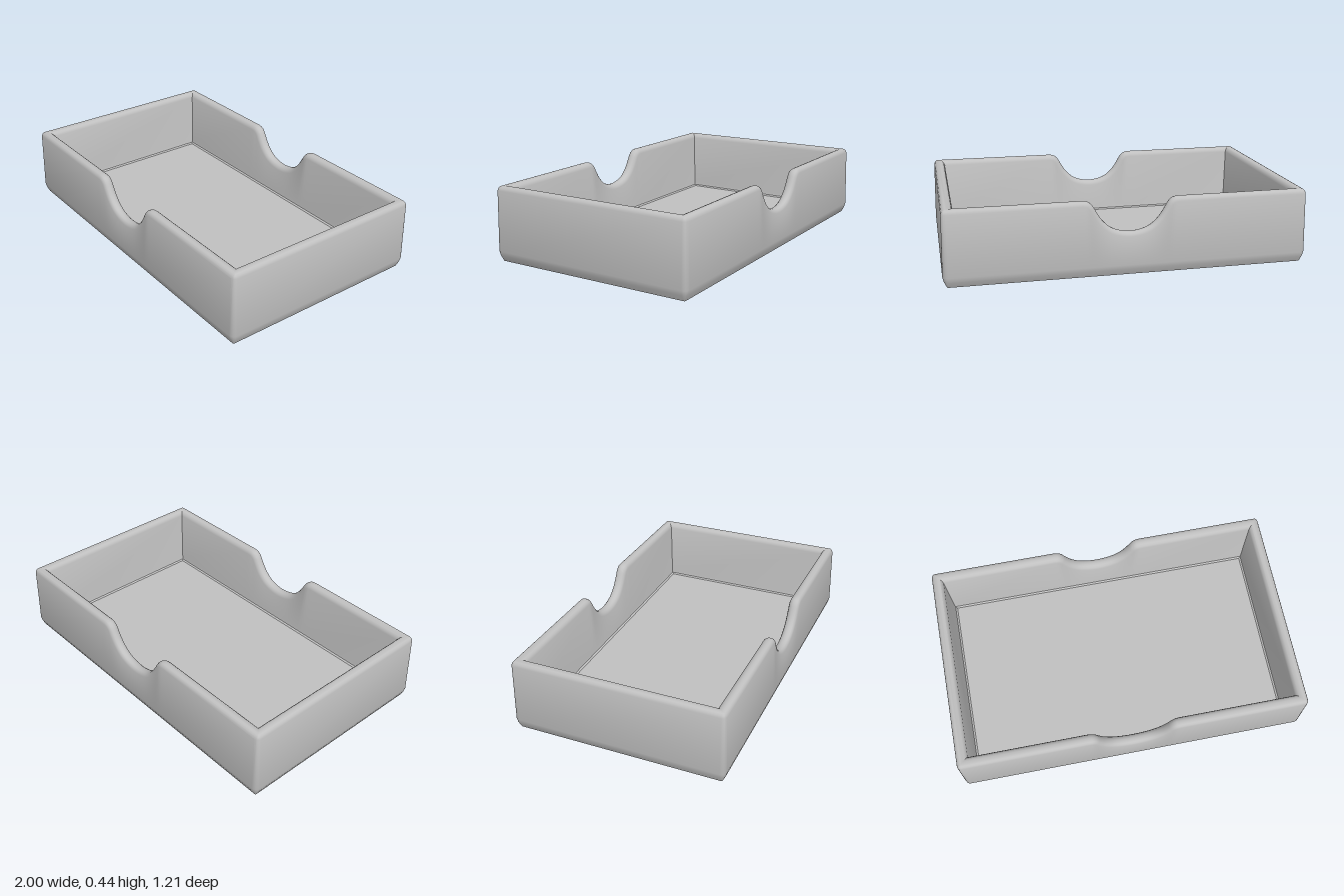
import * as THREE from 'three';
import { toCreasedNormals } from 'three/addons/utils/BufferGeometryUtils.js';

const HALF_X = 1, HALF_Z = 0.605, HEIGHT = 0.44, CORNER = 0.03;

// wall section as [inset, y]; rim points are [inset, drop below rim, true]
const SECTION = [
  [0.08, 0], [0.022, 0.022], [0.006, 0.055], [0, 0.08],
  [0.008, 0.024, true], [0.013, 0.011, true], [0.021, 0.003, true], [0.031, 0, true],
  [0.044, 0, true], [0.056, 0.004, true], [0.066, 0.013, true], [0.072, 0.028, true],
  [0.08, 0.09], [0.083, 0.077], [0.093, 0.07],
];

// outline of the finger notch, right half from its lowest point to the rim
const NOTCH = [[0, 0.26], [0.06, 0.268], [0.112, 0.29], [0.155, 0.33],
  [0.185, 0.375], [0.208, 0.414], [0.232, 0.434], [0.26, 0.44], [0.3, 0.44]];

function notchStations(side) {
  const left = NOTCH.slice(1).reverse().map(([x, y]) => [-x, y]);
  const curve = new THREE.SplineCurve([...left, ...NOTCH].map(p => new THREE.Vector2(...p)));
  const stations = [];
  const n = 48;
  for (let k = 0; k <= n; k++) {
    const p = curve.getPoint(k / n), t = curve.getTangent(k / n);
    stations.push((inset, y, rim) => {
      const z = side * (HALF_Z - inset);
      return rim
        ? new THREE.Vector3(p.x + t.y * y, p.y - t.x * y, z)
        : new THREE.Vector3(p.x, y, z);
    });
  }
  return side > 0 ? stations : stations.reverse();
}

function cornerStations(sx, sz, start) {
  const stations = [];
  for (let k = 0; k <= 4; k++) {
    const a = start + (k / 4) * Math.PI / 2;
    stations.push((inset, y, rim) => {
      const r = Math.max(CORNER - inset, 0), c = Math.max(CORNER, inset);
      return new THREE.Vector3(
        sx * (HALF_X - c) + r * Math.cos(a),
        rim ? HEIGHT - y : y,
        sz * (HALF_Z - c) - r * Math.sin(a));
    });
  }
  return stations;
}

// sweep the section around the tray, closing underside and floor at the middle
function trayGeometry() {
  const q = Math.PI / 2;
  const stations = [
    ...cornerStations(1, -1, 0), ...notchStations(-1),
    ...cornerStations(-1, -1, q), ...cornerStations(-1, 1, 2 * q),
    ...notchStations(1), ...cornerStations(1, 1, 3 * q),
  ];
  const rings = SECTION.map(s => stations.map(f => f(...s)));
  rings.unshift(stations.map(() => new THREE.Vector3(0, 0, 0)));
  rings.push(stations.map(() => new THREE.Vector3(0, 0.07, 0)));

  const positions = [];
  const tri = new THREE.Triangle();
  const add = (a, b, c) => {
    if (tri.set(a, b, c).getArea() > 1e-9) {
      for (const p of [a, b, c]) positions.push(p.x, p.y, p.z);
    }
  };
  for (let i = 0; i < rings.length - 1; i++) {
    for (let j = 0; j < stations.length; j++) {
      const k = (j + 1) % stations.length;
      add(rings[i][j], rings[i][k], rings[i + 1][k]);
      add(rings[i][j], rings[i + 1][k], rings[i + 1][j]);
    }
  }
  const geometry = new THREE.BufferGeometry();
  geometry.setAttribute('position', new THREE.Float32BufferAttribute(positions, 3));
  return toCreasedNormals(geometry, THREE.MathUtils.degToRad(32));
}

export function createModel() {
  const grey = new THREE.MeshStandardMaterial({ color: 0xc0c0c0 });
  grey.name = 'grey';
  const tray = new THREE.Mesh(trayGeometry(), grey);
  tray.name = 'tray';
  const model = new THREE.Group();
  model.name = 'notchedTray';
  model.add(tray);
  return model;
}
